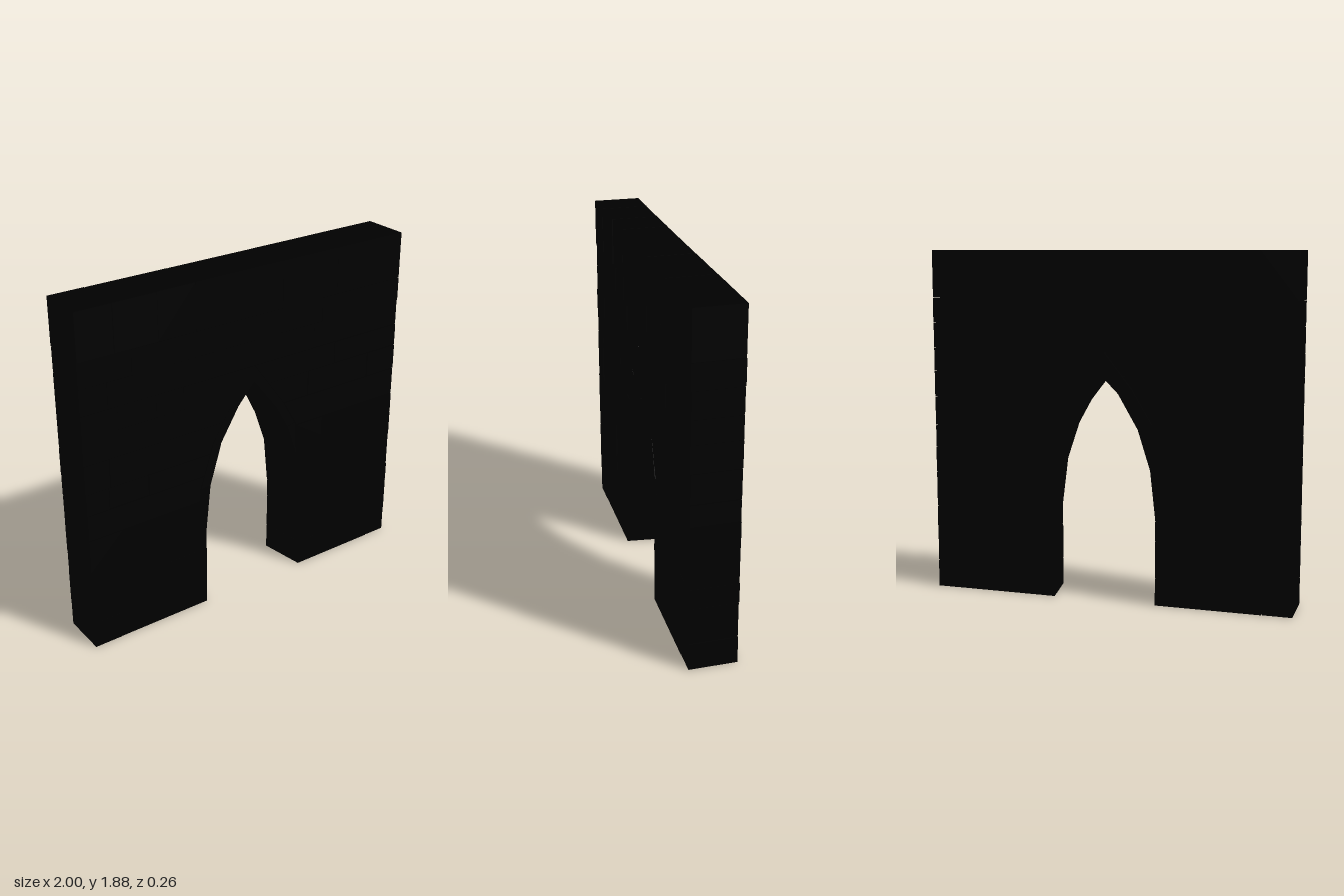
import * as THREE from 'three';

const GAP = 0.002; // half the width of a mortar joint
const SPRING = 0.46; // height where the arch starts
const stone = new THREE.MeshStandardMaterial({ color: 0x000000, flatShading: true });

// Arch curves from springing to apex: [x, y] outside, at the back inner edge and at the wider front inner edge
const arch = {
  right: { // model's right, -x
    outer: [[-0.355, 0.46], [-0.325, 0.73], [-0.245, 0.97], [-0.13, 1.16], [0.02, 1.35]],
    back: [[-0.265, 0.46], [-0.235, 0.73], [-0.165, 0.95], [-0.06, 1.13], [0.02, 1.21]],
    front: [[-0.295, 0.46], [-0.265, 0.735], [-0.195, 0.96], [-0.085, 1.14], [0.02, 1.26]],
  },
  left: { // model's left, +x
    outer: [[0.395, 0.46], [0.36, 0.74], [0.295, 0.94], [0.215, 1.08], [0.02, 1.35]],
    back: [[0.305, 0.46], [0.28, 0.73], [0.215, 0.92], [0.145, 1.06], [0.02, 1.21]],
    front: [[0.345, 0.46], [0.31, 0.735], [0.245, 0.93], [0.17, 1.065], [0.02, 1.26]],
  },
};

// Courses: bottom, top, then the x positions of the upright joints
const courses = [
  [0, 0.15, [-0.84, 0.87]],
  [0.15, 0.35, [-0.85]],
  [0.35, 0.46, [-0.54, 0.79]],
  [0.46, 0.655, [-0.8, -0.535, 0.845]],
  [0.655, 0.8, [0.66, 0.735]],
  [0.8, 0.92, [-0.87, -0.64, 0.49]],
  [0.92, 1.08, [-0.86]],
  [1.08, 1.225, [-0.415, 0.38, 0.8]],
  [1.225, 1.35, [-0.8, -0.58, -0.42, 0.56]],
  [1.35, 1.49, [-0.85, -0.23, 0.415]],
  [1.49, 1.625, [-0.71, -0.485, -0.31, 0.195, 0.465]],
  [1.625, 1.88, [-0.8, -0.555, -0.335, 0.2, 0.56]],
];

let seed = 7;
const random = () => (seed = (seed * 16807) % 2147483647) / 2147483647;

// Block through the wall whose front outline may differ from its back outline
function block(name, back, front = back) {
  const shape = new THREE.Shape(back.map(([x, y]) => new THREE.Vector2(x, y)));
  const geometry = new THREE.ExtrudeGeometry(shape, { depth: 1, bevelEnabled: false });
  const p = geometry.attributes.position;
  const zFront = 0.124 + random() * 0.005;
  const zBack = -0.125 - random() * 0.005;
  for (let i = 0; i < p.count; i++) {
    const k = back.findIndex(([x, y]) => Math.hypot(x - p.getX(i), y - p.getY(i)) < 1e-4);
    const atFront = p.getZ(i) > 0.5;
    const [x, y] = (atFront ? front : back)[k];
    p.setXYZ(i, x, y, atFront ? zFront : zBack);
  }
  geometry.computeVertexNormals();
  const mesh = new THREE.Mesh(geometry, stone);
  mesh.name = name;
  return mesh;
}

// x of a curve at height y
function xAt(curve, y) {
  const i = Math.max(1, curve.findIndex((pt) => pt[1] >= y));
  const [a, b] = [curve[i - 1], curve[i]];
  return a[0] + ((b[0] - a[0]) * (y - a[1])) / (b[1] - a[1]);
}

const rect = (x0, x1, y0, y1) => [[x0, y0], [x1, y0], [x1, y1], [x0, y1]];
const inset = (x, sign) => (Math.abs(x) === 1 ? x : x + sign * GAP);

// Stones of one course on one side of the opening
function sideCourse(group, side, y0, y1, joints) {
  const s = side === 'left' ? 1 : -1;
  const { outer, back, front } = arch[side];
  const edges = joints.filter((x) => x * s > 0).sort((a, b) => (a - b) * s).concat(s);
  edges.forEach((far, i) => {
    const xFar = inset(far, -s);
    if (i > 0) {
      group.add(block('wallStone', rect(Math.min(edges[i - 1] + s * GAP, xFar), Math.max(edges[i - 1] + s * GAP, xFar), y0, y1)));
    } else if (y0 < SPRING - 0.01) {
      // splayed jamb stone beside the opening
      const shape = (x) => [[x, y0], [xFar, y0], [xFar, y1], [x, y1]];
      group.add(block('jambStone', shape(back[0][0]), shape(front[0][0])));
    } else {
      // stone cut to the outside of the arch
      const low = Math.max(y0, SPRING);
      const middle = outer.filter((pt) => pt[1] > low + 0.004 && pt[1] < y1 - 0.004).reverse();
      const cut = [[xAt(outer, y1), y1], ...middle, [xAt(outer, low), low]]
        .map(([x, y]) => [x + s * 0.003, y]);
      group.add(block('archSideStone', [[xFar, y0], [xFar, y1], ...cut]));
    }
  });
}

export function createModel() {
  const model = new THREE.Group();
  model.name = 'archedWall';

  // Coursed wall
  const wall = new THREE.Group();
  wall.name = 'wall';
  for (const [bottom, top, joints] of courses) {
    const y0 = bottom === 0 ? 0 : bottom + GAP;
    const y1 = top === 1.88 ? top : top - GAP;
    if (bottom < 1.35) {
      sideCourse(wall, 'right', y0, y1, joints);
      sideCourse(wall, 'left', y0, y1, joints);
    } else {
      const xs = [-1, ...joints, 1];
      for (let i = 0; i < xs.length - 1; i++) {
        wall.add(block('wallStone', rect(inset(xs[i], 1), inset(xs[i + 1], -1), y0, y1)));
      }
    }
  }
  model.add(wall);

  // Ring of arch stones, splayed wider towards the front
  const ring = new THREE.Group();
  ring.name = 'archRing';
  for (const { outer, back, front } of Object.values(arch)) {
    for (let i = 0; i < outer.length - 1; i++) {
      const quad = (inner) => [inner[i], outer[i], outer[i + 1], inner[i + 1]];
      ring.add(block('archStone', quad(back), quad(front)));
    }
  }
  model.add(ring);
  return model;
}
